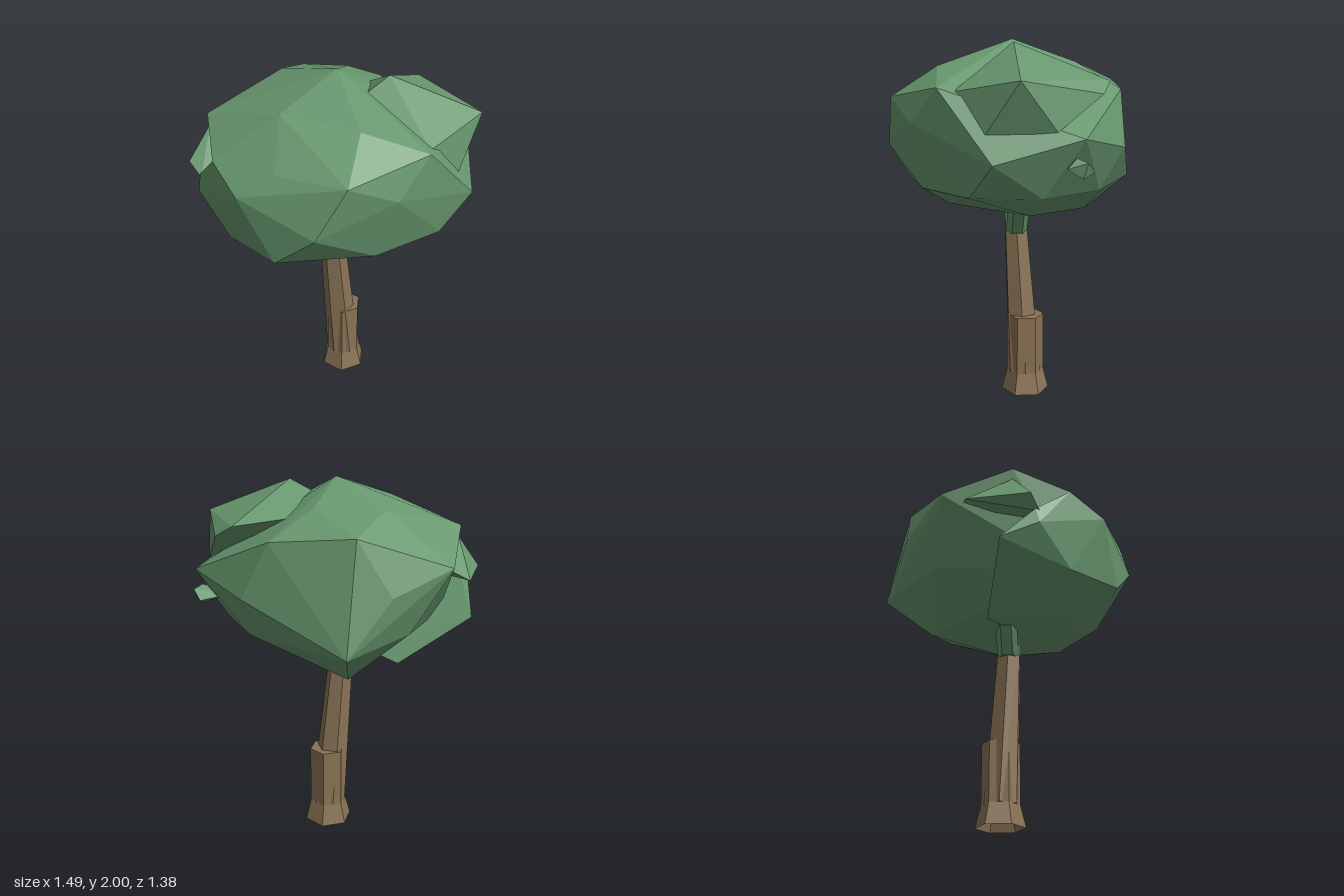
import * as THREE from 'three';
import { ConvexGeometry } from 'three/addons/geometries/ConvexGeometry.js';

const bark = new THREE.MeshStandardMaterial({ color: 0x8a7355, flatShading: true, side: THREE.DoubleSide });
const leaf = new THREE.MeshStandardMaterial({ color: 0x68986f, flatShading: true });

// Tapered prism whose lower and upper ring centres may differ, so it can lean
function leaningPrism(name, a, ra, b, rb, material, { open = false, spin = 0 } = {}) {
  const h = b[1] - a[1];
  const g = new THREE.CylinderGeometry(rb, ra, h, 6, 1, open).rotateY(spin);
  const p = g.attributes.position;
  for (let i = 0; i < p.count; i++) {
    const t = p.getY(i) / h + 0.5;
    p.setXYZ(i,
      p.getX(i) + a[0] + (b[0] - a[0]) * t,
      a[1] + h * t,
      p.getZ(i) + a[2] + (b[2] - a[2]) * t);
  }
  g.computeVertexNormals();
  const mesh = new THREE.Mesh(g, material);
  mesh.name = name;
  return mesh;
}

// Faceted clump of leaves around a few corner points
function clump(name, points) {
  const mesh = new THREE.Mesh(new ConvexGeometry(points.map((p) => new THREE.Vector3(...p))), leaf);
  mesh.name = name;
  return mesh;
}

export function createModel() {
  const tree = new THREE.Group();
  tree.name = 'tree';

  // Trunk: hollow flared foot, hexagonal stump and a slimmer leaning stem
  const trunk = new THREE.Group();
  trunk.name = 'trunk';
  trunk.add(
    leaningPrism('flaredFoot', [0.045, 0, -0.063], 0.136, [0.045, 0.12, -0.063], 0.105, bark, { open: true }),
    leaningPrism('stump', [0.045, 0.12, -0.063], 0.105, [0.045, 0.455, -0.063], 0.105, bark),
    leaningPrism('stem', [0.045, 0.12, -0.06], 0.1, [-0.015, 0.94, -0.014], 0.071, bark, { spin: Math.PI / 6 }),
  );

  // Forked branches
  const branches = new THREE.Group();
  branches.name = 'branches';
  for (const [x0, x1] of [[-0.035, -0.27], [-0.002, 0.19]]) {
    branches.add(leaningPrism('branch', [x0, 0.93, -0.016], 0.06, [x1, 1.2, -0.02], 0.06, leaf));
  }

  // Main crown, listed from the top down
  const crown = [
    [0.01, 2.0, 0.01],
    [-0.24, 1.88, 0.29], [0.15, 1.86, 0.41], [-0.31, 1.87, -0.29], [0.04, 1.88, -0.33],
    [-0.65, 1.76, 0.06], [-0.23, 1.78, -0.58], [0.21, 1.74, -0.55], [0.48, 1.76, 0.41],
    [0.11, 1.7, 0.66], [-0.24, 1.68, 0.53], [-0.57, 1.65, 0.36], [-0.66, 1.61, -0.32],
    [-0.43, 1.56, 0.54], [-0.04, 1.43, 0.69], [0.34, 1.58, 0.55], [0.72, 1.41, 0.15],
    [0.71, 1.53, -0.29], [0.36, 1.45, -0.55], [-0.4, 1.5, -0.55],
    [0.56, 1.23, 0.26], [0.24, 1.23, 0.5], [-0.25, 1.23, 0.6], [-0.52, 1.2, 0.35],
    [-0.21, 1.22, -0.69], [0.37, 1.23, -0.42], [0.61, 1.23, -0.1], [-0.46, 1.28, -0.38],
    [0.24, 1.07, -0.07], [-0.15, 1.07, 0.36], [-0.16, 1.03, -0.43],
  ];

  // Clumps pushing out of the crown
  const upperClump = [
    [0.27, 1.98, 0.02], [0.74, 1.8, 0.02], [0.43, 1.79, -0.45], [0.54, 1.73, -0.4],
    [0.63, 1.53, 0.19], [0.68, 1.56, -0.16], [0.48, 1.74, 0.33], [0.1, 1.87, 0.12],
    [0.13, 1.82, -0.25], [0.3, 1.6, 0],
  ];
  const lowerClump = [
    [-0.735, 1.28, 0.0], [-0.7, 1.38, 0.2], [-0.69, 1.47, 0.18], [-0.36, 1.02, -0.1],
    [-0.52, 1.2, 0.35], [-0.57, 1.65, 0.36], [-0.43, 1.56, 0.54], [-0.25, 1.23, 0.6],
    [-0.15, 1.07, 0.36], [-0.1, 1.08, 0],
  ];
  const ridgeClump = [
    [-0.745, 1.53, 0.16], [-0.73, 1.52, -0.18], [-0.69, 1.59, -0.08], [-0.68, 1.46, 0.2],
    [-0.64, 1.7, 0.06], [-0.5, 1.64, -0.24], [-0.5, 1.5, 0.1],
  ];
  const sprig = [
    [0.72, 1.42, -0.3], [0.7, 1.34, -0.28], [0.71, 1.39, -0.2], [0.69, 1.44, -0.25],
    [0.67, 1.37, -0.34], [0.5, 1.4, -0.25],
  ];

  const foliage = new THREE.Group();
  foliage.name = 'foliage';
  foliage.add(
    clump('crown', crown),
    clump('upperClump', upperClump),
    clump('lowerClump', lowerClump),
    clump('ridgeClump', ridgeClump),
    clump('sprig', sprig),
  );

  tree.add(trunk, branches, foliage);
  return tree;
}
